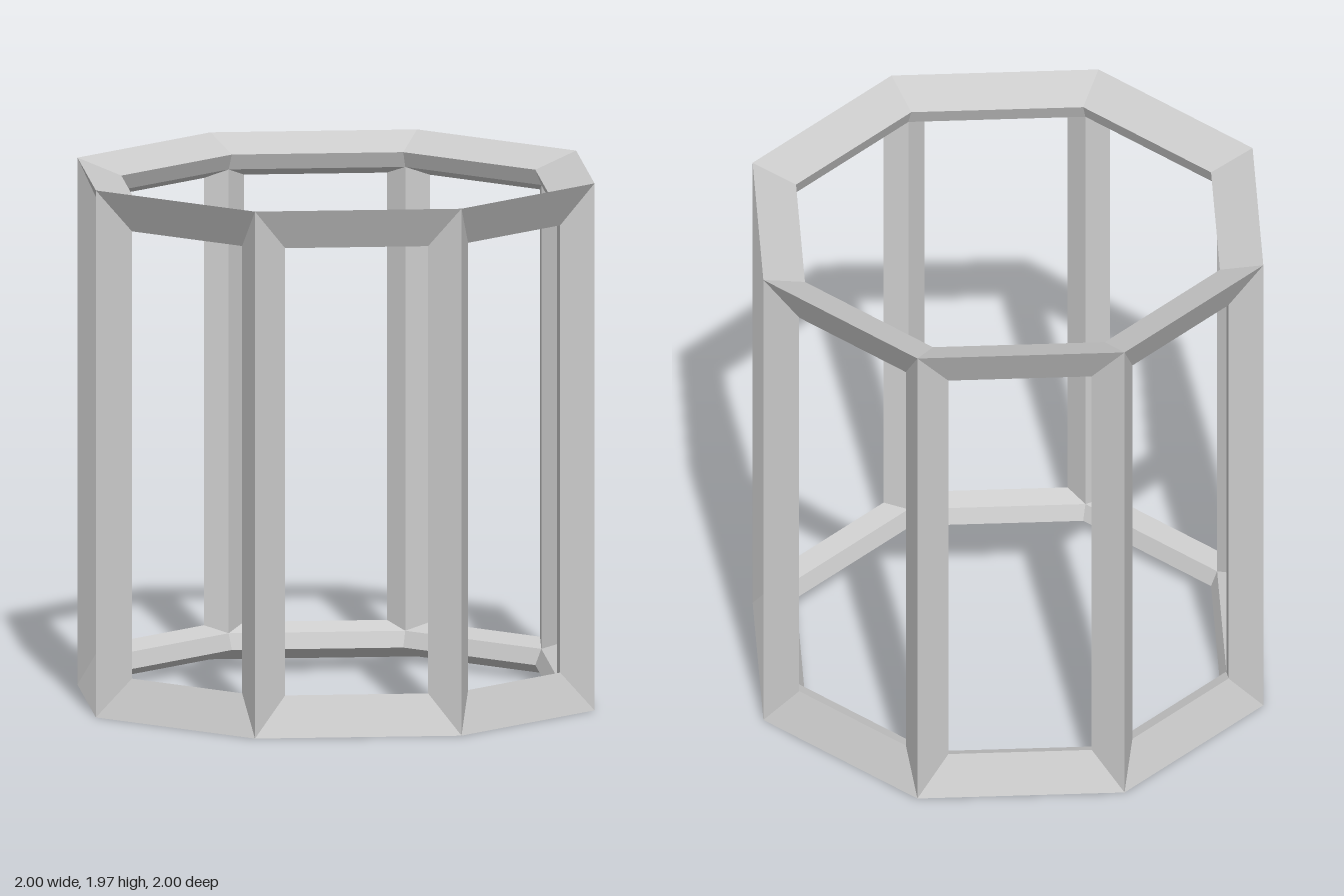
import * as THREE from 'three';

const SIDES = 8;
const HEIGHT = 1.97;
const OUTER_R = 1, INNER_R = 0.855;  // outer and inner ridge of each strut
const INNER_Y = 0.118;               // inner ridge height above the base
const INSET = 0.09;                  // strut half width, measured in a face

// Ring of corner points at a given radius and height, counterclockwise from above
function corners(radius, y) {
  return Array.from({ length: SIDES }, (_, k) => {
    const a = (k / SIDES) * Math.PI * 2;
    return new THREE.Vector3(radius * Math.sin(a), y, radius * Math.cos(a));
  });
}

// Moves one corner of a polygon inwards, by INSET from both its edges
function insetCorner(points, i) {
  const n = points.length, p = points[i];
  const next = points[(i + 1) % n].clone().sub(p).normalize();
  const prev = points[(i + n - 1) % n].clone().sub(p).normalize();
  const scale = INSET / Math.sin(next.angleTo(prev));
  return next.add(prev).multiplyScalar(scale).add(p);
}

export function createModel() {
  const group = new THREE.Group();
  group.name = 'octagonalFrame';

  // Indices 0-7 are the base corners, 8-15 the top corners
  const outer = [...corners(OUTER_R, 0), ...corners(OUTER_R, HEIGHT)];
  const inner = [...corners(INNER_R, INNER_Y), ...corners(INNER_R, HEIGHT - INNER_Y)];
  const middle = outer.map((p, i) => p.clone().lerp(inner[i], 0.5));

  // Prism faces, counterclockwise from outside
  const ids = [...Array(SIDES).keys()];
  const faces = [ids.slice().reverse(), ids.map(k => k + SIDES)];
  for (const k of ids) {
    const m = (k + 1) % SIDES;
    faces.push([k, m, m + SIDES, k + SIDES]);
  }

  // Diamond-section struts: each face edge gives an outer and an inner bevel
  const parts = { bottomRing: [], topRing: [], uprights: [] };
  for (const face of faces) {
    const hole = face.map((_, i) => insetCorner(face.map(id => middle[id]), i));
    face.forEach((a, i) => {
      const j = (i + 1) % face.length, b = face[j];
      const low = a < SIDES, level = low === (b < SIDES);
      const part = !level ? 'uprights' : low ? 'bottomRing' : 'topRing';
      for (const [p, q, r, s] of [
        [outer[a], outer[b], hole[j], hole[i]],
        [inner[b], inner[a], hole[i], hole[j]],
      ]) parts[part].push(p, q, r, p, r, s);
    });
  }

  const material = new THREE.MeshStandardMaterial({ color: 0xcccccc, flatShading: true });
  for (const [name, points] of Object.entries(parts)) {
    const geometry = new THREE.BufferGeometry().setFromPoints(points);
    geometry.computeVertexNormals();
    const mesh = new THREE.Mesh(geometry, material);
    mesh.name = name;
    group.add(mesh);
  }
  return group;
}
